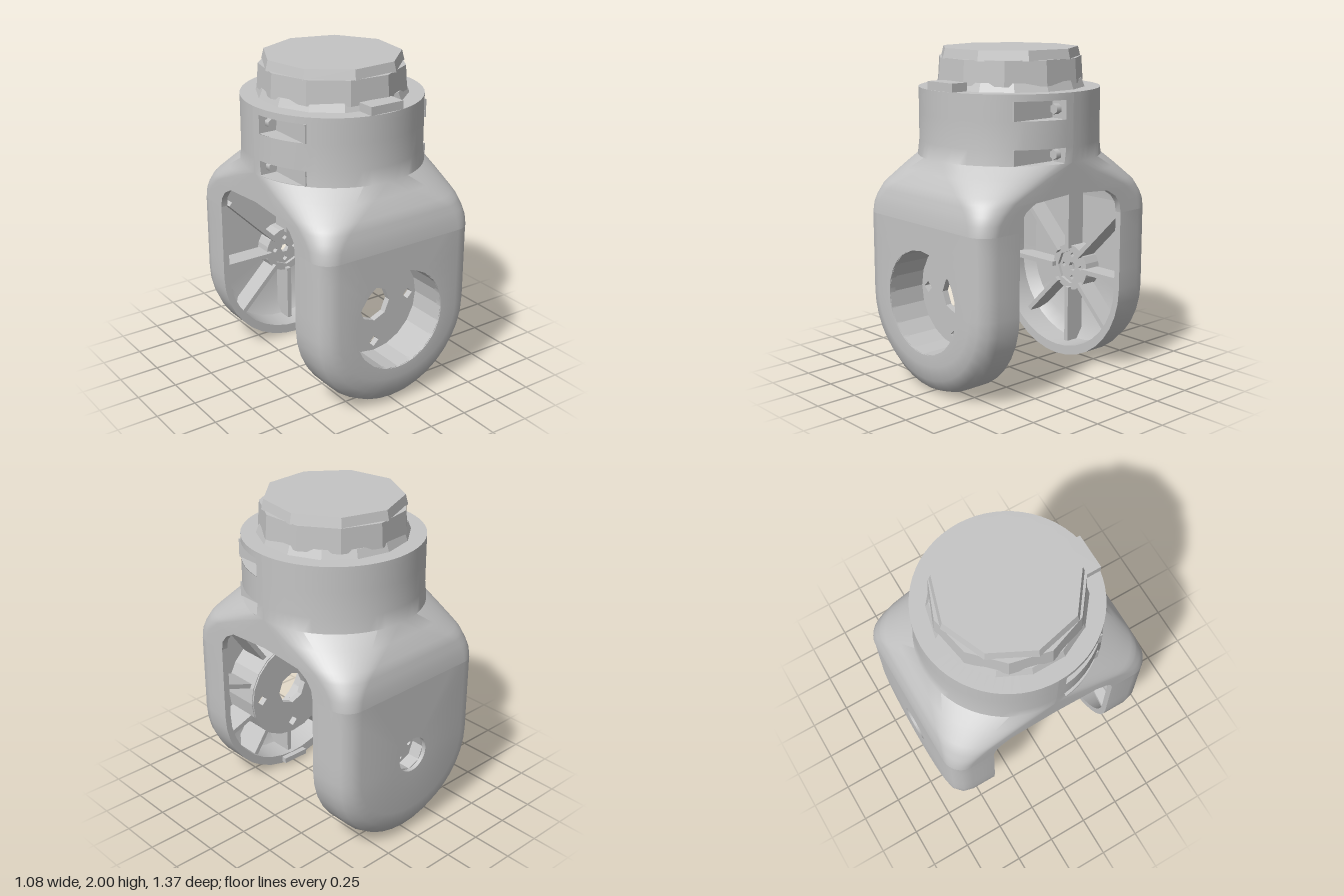
import * as THREE from 'three';
import { toCreasedNormals } from 'three/addons/utils/BufferGeometryUtils.js';

const HUB_Y = 0.555, SEAM_Y = 1.02, WALL = 0.04;

export function createModel() {
  const root = new THREE.Group();
  root.name = 'forkJoint';
  const grey = new THREE.MeshStandardMaterial({ color: 0xc4c4c4, side: THREE.DoubleSide });
  grey.name = 'light grey';

  function add(parent, name, geometry, x = 0, y = 0, z = 0) {
    const mesh = new THREE.Mesh(geometry, grey);
    mesh.name = name;
    mesh.position.set(x, y, z);
    parent.add(mesh);
    return mesh;
  }

  // Joins rows of points with quads, leaving out those that keep() rejects
  function skin(rows, keep) {
    const out = [];
    const tri = (a, b, c) => {
      const area = b.clone().sub(a).cross(c.clone().sub(a)).length();
      if (area > 1e-7) for (const p of [a, b, c]) out.push(p.x, p.y, p.z);
    };
    for (let i = 0; i < rows.length - 1; i++) {
      const n = rows[i].length;
      for (let j = 0; j < n; j++) {
        if (!keep(i, j)) continue;
        const k = (j + 1) % n;
        tri(rows[i][j], rows[i][k], rows[i + 1][k]);
        tri(rows[i][j], rows[i + 1][k], rows[i + 1][j]);
      }
    }
    const g = new THREE.BufferGeometry();
    g.setAttribute('position', new THREE.Float32BufferAttribute(out, 3));
    return toCreasedNormals(g, 0.7);
  }

  // Round plate along z with holes given as [x, y, radius, sides]
  function disc(radius, holes, depth) {
    const shape = new THREE.Shape().absarc(0, 0, radius, 0, Math.PI * 2);
    for (const [x, y, r, sides] of holes) {
      const pts = [];
      for (let i = 0; i < sides; i++) {
        const a = -i / sides * Math.PI * 2;
        pts.push(new THREE.Vector2(x + r * Math.cos(a), y + r * Math.sin(a)));
      }
      shape.holes.push(new THREE.Path(pts));
    }
    return new THREE.ExtrudeGeometry(shape, { depth, bevelEnabled: false, curveSegments: 10 });
  }
  const fourHoles = (d, r) => [0, 1, 2, 3].map(i =>
    [d * Math.cos(i * Math.PI / 2), d * Math.sin(i * Math.PI / 2), r, 4]);

  // Hollow leg: rounded tongue outline, bevelled more strongly at the bottom
  function outline(w, z) {
    const pts = [];
    const put = (x, y) => pts.push(new THREE.Vector3(x, y, z));
    const drop = w - (0.54 - w) * 0.5;
    for (let i = 0; i <= 18; i++) {
      const a = Math.PI * (1 + i / 18);
      put(w * Math.cos(a), 0.54 + drop * Math.sin(a));
    }
    for (let i = 1; i <= 4; i++) put(w, 0.54 + (SEAM_Y - 0.54) * i / 4);
    for (let i = 1; i <= 8; i++) put(w - 2 * w * i / 8, SEAM_Y);
    for (let i = 3; i >= 1; i--) put(-w, 0.54 + (SEAM_Y - 0.54) * i / 4);
    return pts;
  }
  function legShell(holeR) {
    const hole = z => outline(0.42, z).map(p => {
      const a = Math.atan2(p.y - HUB_Y, p.x);
      return new THREE.Vector3(holeR * Math.cos(a), HUB_Y + holeR * Math.sin(a), z);
    });
    const inner = 0.54 - WALL, floor = 0.685 - WALL;
    const profile = [[inner - 0.06, floor], [inner, floor - 0.06], [inner, 0.41], [0.54, 0.41],
      [0.54, 0.565], [0.525, 0.625], [0.48, 0.67], [0.42, 0.685]];
    const rows = [hole(floor), ...profile.map(([w, z]) => outline(w, z)), hole(0.685), hole(floor)];
    // The top edge stays open into the crown
    return skin(rows, (i, j) => !(j >= 22 && j < 30 && i > 0 && i < 8));
  }
  // Radial ribs between a hub and the rim, from depth z0 to the leg skin
  function ribs(leg, r0, z0, angles) {
    for (const deg of angles) {
      const a = deg * Math.PI / 180;
      const side = 0.5 / Math.max(Math.abs(Math.cos(a)), 0.01);
      const r1 = Math.sin(a) < 0 ? 0.5 : Math.min(side, 0.6);
      const mid = (r0 + r1) / 2;
      const rib = add(leg, 'rib', new THREE.BoxGeometry(r1 - r0, 0.03, 0.63 - z0),
        mid * Math.cos(a), HUB_Y + mid * Math.sin(a), (0.63 + z0) / 2);
      rib.rotation.z = a;
    }
  }

  // Front leg with a deep round cup
  const frontLeg = new THREE.Group();
  frontLeg.name = 'frontLeg';
  add(frontLeg, 'frontLegShell', legShell(0.31));
  add(frontLeg, 'cupWall', disc(0.33, [[0, 0, 0.31, 20]], 0.27), 0, HUB_Y, 0.41);
  add(frontLeg, 'cupFloor', disc(0.325, [[0, 0, 0.11, 8], ...fourHoles(0.25, 0.035)], 0.04), 0, HUB_Y, 0.4);
  add(frontLeg, 'bottomLip', new THREE.BoxGeometry(0.18, 0.035, 0.16), 0, 0.038, 0.455);
  ribs(frontLeg, 0.32, 0.44, [20, 55, 125, 160, 200, 235, 270, 305, 340]);
  root.add(frontLeg);

  // Back leg with a small bored hub
  const backLeg = new THREE.Group();
  backLeg.name = 'backLeg';
  add(backLeg, 'backLegShell', legShell(0.11));
  add(backLeg, 'hubTube', disc(0.15, [[0, 0, 0.11, 8]], 0.13), 0, HUB_Y, 0.53);
  add(backLeg, 'hubFloor', disc(0.14, [[0, 0, 0.03, 6], ...fourHoles(0.075, 0.018)], 0.03), 0, HUB_Y, 0.55);
  ribs(backLeg, 0.13, 0.5, [0, 45, 90, 135, 180, 225, 270, 315]);
  backLeg.rotation.y = Math.PI;
  root.add(backLeg);

  // Neck and crown: half sections blending from the round neck down to the legs
  function section(y, w, zi, zo, r) {
    const half = [[w, zi], [w, (zi + zo - r) / 2]];
    for (let k = 0; k <= 16; k++) {
      const a = k / 16 * Math.PI / 2;
      half.push([w - r + r * Math.cos(a), zo - r + r * Math.sin(a)]);
    }
    const full = [...half, ...half.slice().reverse().map(([x, z]) => [-x, z])];
    return full.map(([x, z]) => new THREE.Vector3(x, y, z));
  }
  // [height, arch opening, outer depth, corner radius]
  const levels = [[1.77, 0, 0.54, 0.54], [1.73, 0, 0.54, 0.54], [1.62, 0, 0.54, 0.54],
    [1.46, 0, 0.54, 0.54], [1.37, 0, 0.553, 0.54], [1.3, 0, 0.597, 0.41], [1.22, 0, 0.642, 0.27],
    [1.19, 0, 0.655, 0.22], [1.17, 0.29, 0.66, 0.2], [1.13, 0.36, 0.67, 0.16],
    [1.08, 0.4, 0.68, 0.13], [SEAM_Y, 0.41, 0.685, 0.12]];
  const OUTER = 38, SOLID_ROWS = 4;
  const rows = levels.map(([y, zi, zo, r]) => [
    ...section(y, 0.54, zi, zo, r),
    ...section(y, 0.54 - WALL, zi, zo - WALL, r - WALL).reverse()]);
  const inSlot = (i, j) => {
    const k = Math.min(j, OUTER - 2 - j);
    return (i === 1 || i === 3) && k >= 3 && k < 9;
  };
  for (const front of [true, false]) {
    const crown = add(root, front ? 'neckAndCrownFront' : 'neckAndCrownBack', skin(rows, (i, j) =>
      i >= SOLID_ROWS || (j < OUTER - 1 && !(front && inSlot(i, j)))));
    if (!front) crown.rotation.y = Math.PI;
  }
  add(root, 'crownCeiling', new THREE.CylinderGeometry(0.52, 0.52, 0.02, 32), 0, 1.355, 0);

  // Screw slots on both sides of the neck front
  for (const side of [1, -1]) {
    for (const [low, high] of [[1.37, 1.46], [1.62, 1.73]]) {
      const mid = (low + high) / 2, h = high - low;
      const shelf = new THREE.Shape();
      shelf.moveTo(side * 0.42, 0.05);
      for (let k = 1; k <= 7; k++) {
        const a = k / 16 * Math.PI / 2;
        shelf.lineTo(side * 0.538 * Math.cos(a), 0.538 * Math.sin(a));
      }
      for (const y of [low, high]) {
        const g = new THREE.ShapeGeometry(shelf).rotateX(Math.PI / 2);
        add(root, 'slotShelf', g, 0, y, 0);
      }
      add(root, 'slotFloor', new THREE.BoxGeometry(0.01, h, 0.3), side * 0.42, mid, 0.2);
      add(root, 'slotEnd', new THREE.BoxGeometry(0.115, h, 0.01), side * 0.478, mid, 0.048);
      const screw = add(root, 'screw', new THREE.CylinderGeometry(0.03, 0.03, 0.04, 6), side * 0.47, mid, 0.07);
      screw.rotation.x = Math.PI / 2;
    }
  }

  // Neck rim, locating tab and faceted boss
  const rim = add(root, 'neckRim', new THREE.RingGeometry(0.36, 0.54, 64), 0, 1.77, 0);
  rim.rotation.x = -Math.PI / 2;
  add(root, 'locatingTab', new THREE.BoxGeometry(0.22, 0.05, 0.11), 0, 1.795, 0.475);
  const bossParts = [['bossSkirt', 0.43, 0.45, 1.77, 1.82, 14], ['bossBody', 0.43, 0.44, 1.8, 1.945, 11],
    ['bossTop', 0.41, 0.425, 1.94, 2, 9]];
  bossParts.forEach(([name, top, bottom, y0, y1, sides], i) => {
    const g = new THREE.CylinderGeometry(top, bottom, y1 - y0, sides);
    const boss = add(root, name, toCreasedNormals(g, 0.3), 0, (y0 + y1) / 2, 0);
    boss.rotation.y = 0.2 * i;
  });

  return root;
}
